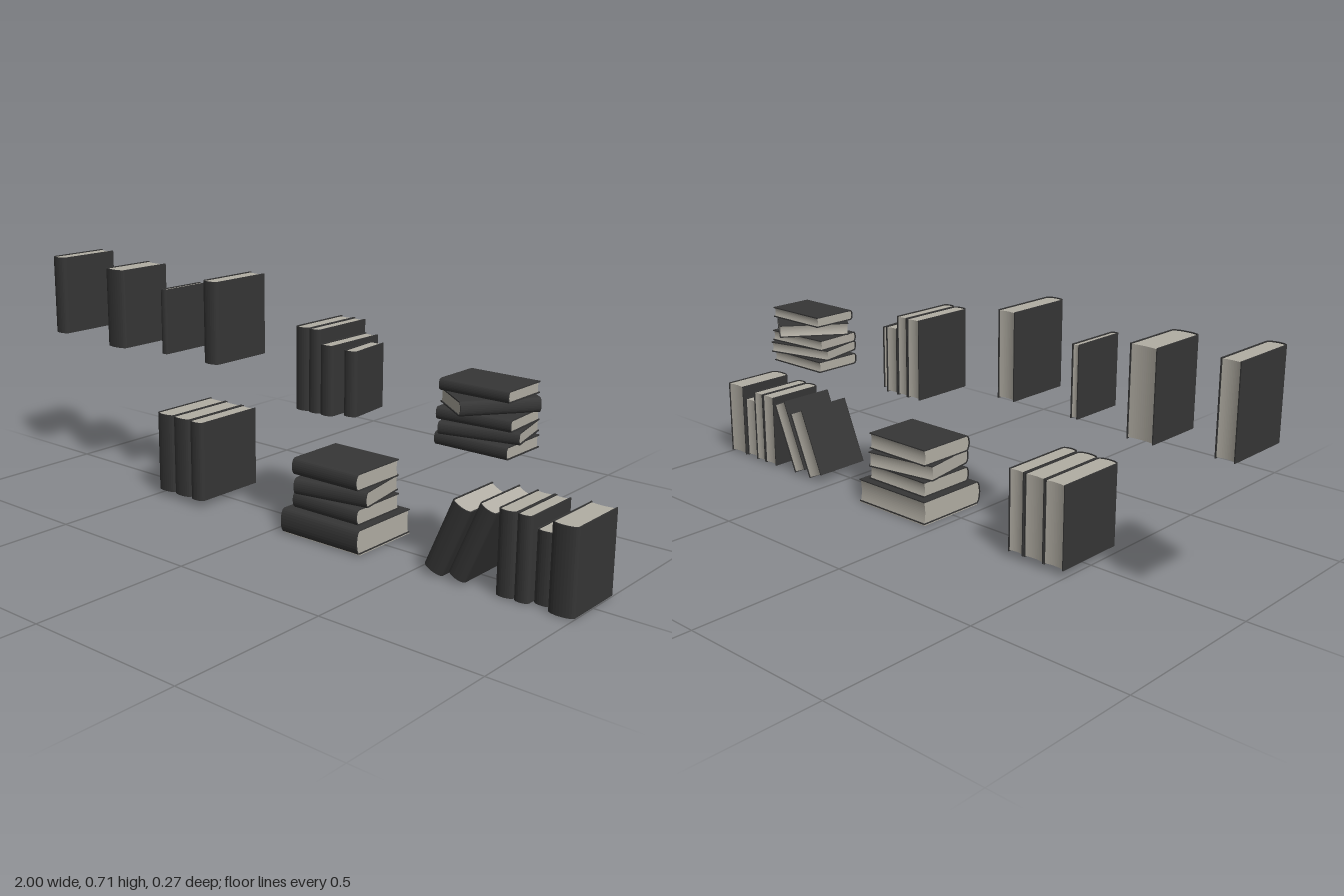
import * as THREE from 'three';

const cover = new THREE.MeshStandardMaterial({ color: 0x363636 });
cover.name = 'charcoal cover';
const paper = new THREE.MeshStandardMaterial({ color: 0xb2aea4 });
paper.name = 'aged paper';

const DEG = Math.PI / 180;
const BOARD = 0.0035; // cover board thickness
const LIP = 0.003; // how far the boards overhang the pages

// Extrude a thickness/depth outline upwards, centred on y
function upright(shape, height) {
  const geo = new THREE.ExtrudeGeometry(shape, { depth: height, bevelEnabled: false, curveSegments: 12 });
  geo.rotateX(Math.PI / 2);
  geo.translate(0, height / 2, 0);
  return geo;
}

// A standing book: thickness w on x, height h on y, depth d on z, rounded spine towards +z
function makeBook(w, h, d) {
  const book = new THREE.Group();
  const r = w / 2, ri = r - BOARD;
  const b = Math.min(w * 0.3, 0.016);
  const back = -d / 2, hinge = d / 2 - b;
  const k = hinge + b * 4 / 3, ki = k - BOARD * 4 / 3;

  // Both boards and the spine as one folded shell
  const shell = new THREE.Shape();
  shell.moveTo(-r, back);
  shell.lineTo(-ri, back);
  shell.lineTo(-ri, hinge);
  shell.bezierCurveTo(-ri, ki, ri, ki, ri, hinge);
  shell.lineTo(ri, back);
  shell.lineTo(r, back);
  shell.lineTo(r, hinge);
  shell.bezierCurveTo(r, k, -r, k, -r, hinge);
  shell.closePath();
  const shellMesh = new THREE.Mesh(upright(shell, h), cover);
  shellMesh.name = 'cover';

  // Page block with a slightly hollow fore edge
  const block = new THREE.Shape();
  block.moveTo(-ri, back + LIP);
  block.quadraticCurveTo(0, back + LIP + b * 0.5, ri, back + LIP);
  block.lineTo(ri, hinge);
  block.bezierCurveTo(ri, ki, -ri, ki, -ri, hinge);
  block.closePath();
  const pages = new THREE.Mesh(upright(block, h - LIP * 2), paper);
  pages.name = 'pages';

  book.add(shellMesh, pages);
  return book;
}

export function createModel() {
  const model = new THREE.Group();
  model.name = 'bookCollection';

  function group(name) {
    const g = new THREE.Group();
    g.name = name;
    model.add(g);
    return g;
  }

  // Upright book from its x, y and z limits
  function stand(parent, x0, x1, y0, y1, z0, z1, turn = 0) {
    const book = makeBook(x1 - x0, y1 - y0, z1 - z0);
    book.position.set((x0 + x1) / 2, (y0 + y1) / 2, (z0 + z1) / 2);
    book.rotation.y = turn * DEG;
    book.name = 'standingBook';
    parent.add(book);
  }

  // Lying book: its height runs along x, its spine faces +z before the turn
  function lie(parent, x, y0, y1, z, length, depth, turn = 0) {
    const book = makeBook(y1 - y0, length, depth);
    book.rotation.order = 'YXZ';
    book.rotation.set(0, turn * DEG, -Math.PI / 2);
    book.position.set(x, (y0 + y1) / 2, z);
    book.name = 'lyingBook';
    parent.add(book);
    return book;
  }

  // Four single books
  const singles = group('singleBooks');
  [
    [-1.0, -0.942, 0.46, 0.715, -0.107, 0.113],
    [-0.757, -0.674, 0.446, 0.70, -0.1, 0.096],
    [-0.506, -0.482, 0.455, 0.66, -0.09, 0.085],
    [-0.298, -0.239, 0.463, 0.715, -0.107, 0.11],
  ].forEach((s) => stand(singles, ...s));

  // Three matching volumes
  const trio = group('matchingVolumes');
  [[-0.495, -0.425], [-0.423, -0.353], [-0.349, -0.295]]
    .forEach(([a, b]) => stand(trio, a, b, 0.02, 0.273, -0.12, 0.128));

  // Four books of falling height, the last one turned
  const row = group('steppedRow');
  [
    [0.072, 0.121, 0.385, 0.627, -0.103, 0.108],
    [0.122, 0.162, 0.385, 0.627, -0.103, 0.108],
    [0.164, 0.209, 0.385, 0.588, -0.103, 0.108],
    [0.216, 0.258, 0.385, 0.574, -0.075, 0.073, 6],
  ].forEach((s) => stand(row, ...s));

  // Small stack of five
  const small = group('smallStack');
  [
    [0.66, 0.368, 0.404, 0.004, 0.225, 0.16, 0],
    [0.664, 0.405, 0.439, 0.002, 0.225, 0.16, 13],
    [0.66, 0.44, 0.474, 0.002, 0.222, 0.16, 4],
    [0.665, 0.475, 0.515, 0, 0.22, 0.164, 53],
    [0.66, 0.516, 0.549, 0, 0.215, 0.152, 0],
  ].forEach((s) => lie(small, ...s));

  // Large stack of four
  const large = group('largeStack');
  const base = lie(large, 0.181, 0.003, 0.077, 0.004, 0.286, 0.25);
  [
    [0.181, 0.078, 0.127, 0.002, 0.24, 0.2, 0],
    [0.182, 0.128, 0.177, 0.002, 0.24, 0.2, 10],
    [0.178, 0.179, 0.231, 0.002, 0.24, 0.2, 0],
  ].forEach((s) => lie(large, ...s));

  // Bare paper underside of the bottom book
  const underside = new THREE.Mesh(new THREE.BoxGeometry(0.003, 0.286, 0.234), paper);
  underside.name = 'paperUnderside';
  underside.position.set(0.0385, 0, -0.008);
  base.add(underside);

  // Shelf row with two books leaning against it
  const shelf = group('shelfRow');
  [
    [0.762, 0.817, 0.003, 0.243, -0.1, 0.1],
    [0.819, 0.864, 0.003, 0.243, -0.1, 0.1],
    [0.866, 0.921, 0.003, 0.206, -0.093, 0.08],
    [0.923, 1.0, 0.003, 0.248, -0.1, 0.107],
  ].forEach((s) => stand(shelf, ...s));
  [[0.604, 0.118, 0.064, 0.222], [0.684, 0.124, 0.056, 0.236]].forEach(([x, y, w, h]) => {
    const book = makeBook(w, h, 0.2);
    book.position.set(x, y, 0);
    book.rotation.z = -23 * DEG;
    book.name = 'leaningBook';
    shelf.add(book);
  });

  return model;
}
